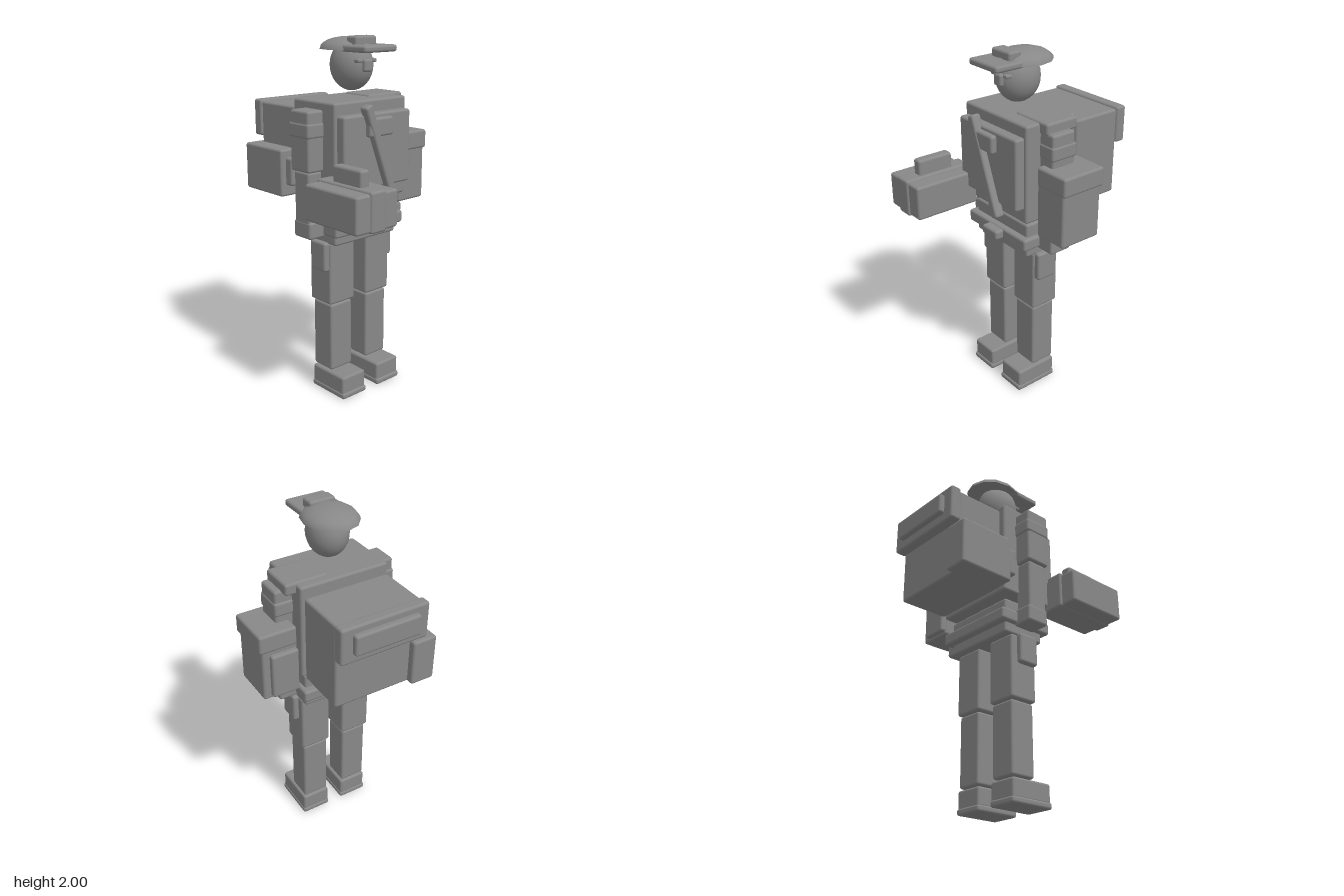
import * as THREE from 'three';
import { RoundedBoxGeometry } from 'three/addons/geometries/RoundedBoxGeometry.js';

// The figure looks along +x; its body is symmetric about this z plane.
const MID = 0.017;

export function createModel() {
  const group = new THREE.Group();
  const grey = new THREE.MeshStandardMaterial({ color: 0x888888 });
  grey.name = 'grey';

  const add = (name, geometry) => {
    const mesh = new THREE.Mesh(geometry, grey);
    mesh.name = name;
    group.add(mesh);
    return mesh;
  };

  // Bevelled box given by its extents along x, y and z
  const box = (name, [x0, x1], [y0, y1], [z0, z1], bevel = 0.014) => {
    const size = [x1 - x0, y1 - y0, z1 - z0];
    const r = Math.min(bevel, Math.min(...size) * 0.4);
    const mesh = add(name, new RoundedBoxGeometry(...size, 2, r));
    mesh.position.set((x0 + x1) / 2, (y0 + y1) / 2, (z0 + z1) / 2);
    return mesh;
  };

  // Pair of boxes; z extents are distances from the middle plane
  const pair = (name, x, y, [a, b]) => {
    box(name + 'Right', x, y, [MID + a, MID + b]);
    box(name + 'Left', x, y, [MID - b, MID - a]);
  };

  // Head and face
  const head = add('head', new THREE.SphereGeometry(1, 24, 16));
  head.scale.set(0.125, 0.135, 0.11);
  head.position.set(0.014, 1.845, MID);
  box('nose', [0.1, 0.153], [1.815, 1.882], [MID - 0.031, MID + 0.031]);
  pair('eye', [0.09, 0.142], [1.863, 1.884], [0.034, 0.068]);

  // Peaked cap: low dome with a flat underside
  const dome = [new THREE.Vector2(0, 0), new THREE.Vector2(1, 0)];
  const cap = add('capUnderside', new THREE.CircleGeometry(1, 12));
  cap.rotation.x = Math.PI / 2;
  cap.scale.set(0.17, 0.148, 1);
  cap.position.set(-0.015, 1.927, 0.014);
  dome.length = 0;
  for (let i = 0; i <= 6; i++) {
    const t = (i / 6) * Math.PI / 2;
    dome.push(new THREE.Vector2(Math.cos(t), Math.sin(t)));
  }
  const crown = add('capCrown', new THREE.LatheGeometry(dome, 12));
  crown.scale.set(0.17, 0.066, 0.148);
  crown.position.copy(cap.position);
  box('capVisor', [0.05, 0.243], [1.92, 1.956], [-0.1, 0.132]);
  box('capBadge', [0.05, 0.13], [1.945, 2.0], [-0.06, 0.09]);

  // Torso, chest plate and shoulder plate
  box('torso', [-0.163, 0.17], [1.13, 1.675], [-0.243, 0.275]);
  box('chestPlate', [0.14, 0.224], [1.21, 1.61], [-0.225, 0.258]);
  box('shoulderPlate', [-0.118, 0.084], [1.62, 1.685], [-0.302, -0.05]);
  box('chestPocket', [0.19, 0.257], [1.49, 1.59], [-0.067, 0.105]);
  const strap = box('chestStrap', [0.205, 0.262], [1.115, 1.675], [-0.01, 0.042]);
  strap.rotation.x = 0.365;

  // Hips and belt
  box('hips', [-0.13, 0.135], [0.9, 1.1], [-0.207, 0.243]);
  box('belt', [-0.172, 0.172], [0.957, 1.027], [-0.232, 0.27]);
  box('buckle', [0.15, 0.22], [0.965, 1.02], [-0.045, 0.085]);

  // Arms
  pair('upperArm', [-0.072, 0.077], [1.31, 1.633], [0.245, 0.357]);
  pair('sleeveBand', [-0.08, 0.082], [1.49, 1.57], [0.238, 0.362]);
  pair('forearm', [-0.06, 0.06], [1.01, 1.31], [0.24, 0.345]);
  pair('hand', [-0.068, 0.068], [0.945, 1.04], [0.225, 0.347]);

  // Legs, thigh pouches and shoes
  pair('thigh', [-0.085, 0.087], [0.545, 0.905], [0.044, 0.223]);
  pair('thighPouch', [-0.045, 0.077], [0.743, 0.91], [0.2, 0.255]);
  pair('shin', [-0.075, 0.077], [0.14, 0.54], [0.055, 0.21]);
  pair('shoe', [-0.078, 0.182], [0.025, 0.132], [0.047, 0.217]);
  pair('sole', [-0.083, 0.19], [0, 0.037], [0.043, 0.221]);

  // Backpack with flap, top pocket and side pouch
  box('backpack', [-0.475, -0.178], [1.135, 1.625], [-0.233, 0.26]);
  box('backpackFlap', [-0.535, -0.47], [1.43, 1.635], [-0.24, 0.27]);
  box('backpackPocket', [-0.565, -0.52], [1.48, 1.597], [-0.175, 0.206]);
  box('backpackPouch', [-0.515, -0.185], [1.133, 1.396], [0.21, 0.352]);
  box('backpackClip', [-0.183, -0.125], [1.2, 1.355], [0.22, 0.328]);

  // Shoulder bag on the left hip
  box('bagBody', [-0.145, 0.11], [1.055, 1.37], [-0.462, -0.258]);
  box('bagLid', [-0.153, 0.117], [1.35, 1.456], [-0.477, -0.262]);
  box('bagPocket', [-0.173, -0.13], [1.07, 1.33], [-0.42, -0.262]);

  // Carry case on the right
  box('caseBody', [0.167, 0.552], [1.1, 1.293], [0.196, 0.476]);
  box('caseBand', [0.155, 0.562], [1.095, 1.305], [0.284, 0.386]);
  box('caseHandle', [0.254, 0.465], [1.27, 1.39], [0.305, 0.366]);

  return group;
}
